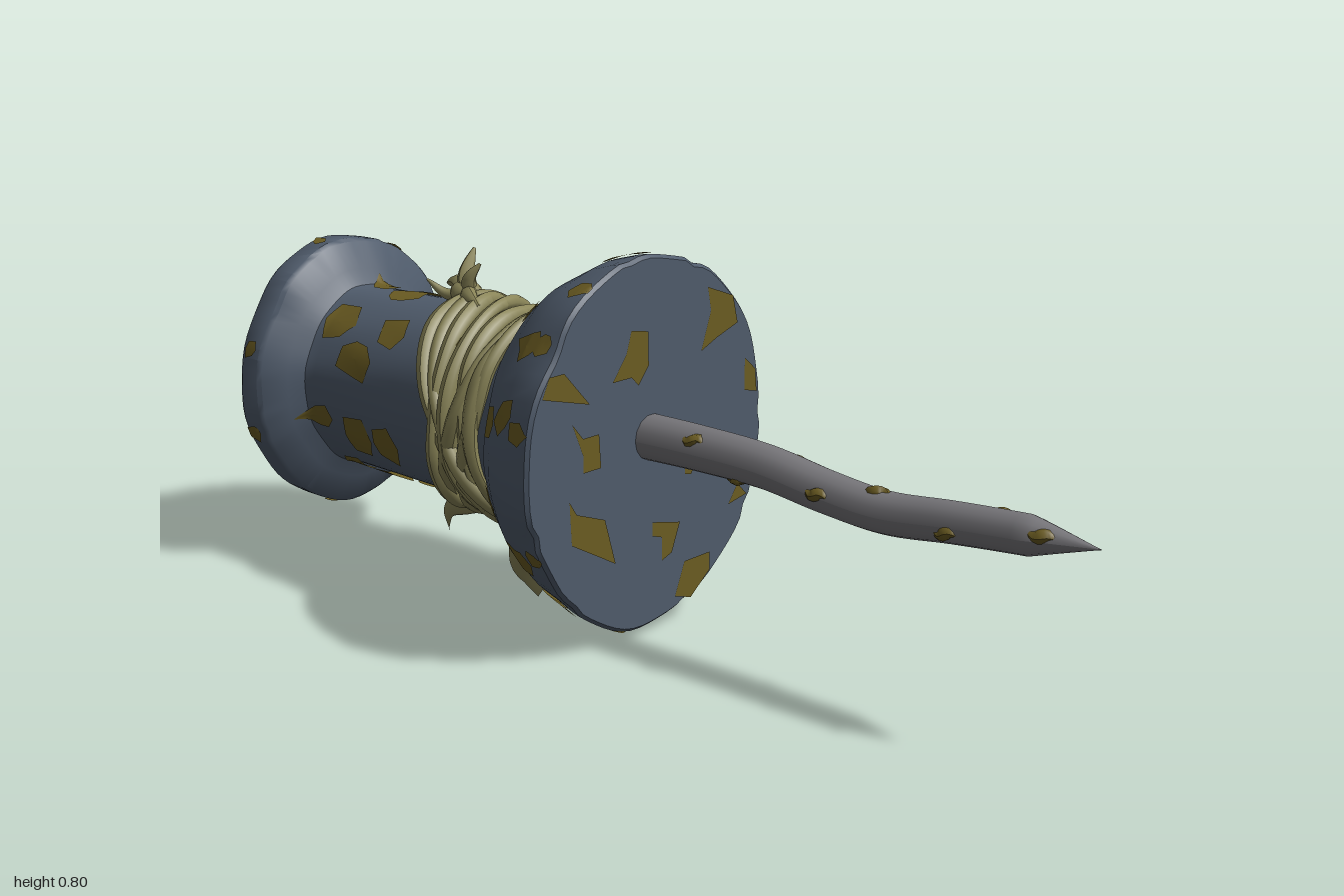
import * as THREE from 'three';
import { toCreasedNormals } from 'three/addons/utils/BufferGeometryUtils.js';

const CY = 0.405;      // height of the long axis
const SQUASH = 0.91;   // body is narrower in z than in y
const V = (x, y, z) => new THREE.Vector3(x, y, z);
const paint = (color, side = THREE.FrontSide) =>
  new THREE.MeshStandardMaterial({ color, side, roughness: 0.9 });

// Outer silhouette [x, radius] from end cap to bell rim
const OUTLINE = [
  [-1, 0.298], [-0.99, 0.304], [-0.94, 0.304], [-0.93, 0.297], [-0.905, 0.24], [-0.885, 0.205],
  [-0.86, 0.2], [-0.6, 0.206], [-0.35, 0.214], [-0.29, 0.222], [-0.265, 0.26], [-0.23, 0.3],
  [-0.18, 0.338], [-0.12, 0.367], [-0.06, 0.383], [-0.038, 0.387], [-0.03, 0.38],
];

function radiusAt(x) {
  const i = Math.max(1, OUTLINE.findIndex(p => p[0] >= x));
  const [a, b] = [OUTLINE[i - 1], OUTLINE[i]];
  return THREE.MathUtils.lerp(a[1], b[1], (x - a[0]) / (b[0] - a[0]));
}

// Hand-carved unevenness, with chips along the bell rim and the cap edge
function wear(x, a) {
  const rough = 0.008 * Math.sin(5 * a + 7 * x) + 0.006 * Math.sin(11 * a - 13 * x);
  const rim = THREE.MathUtils.smoothstep(x, -0.09, -0.03);
  const cap = THREE.MathUtils.smoothstep(-x, 0.9, 0.93) * (x > -0.96 ? 1 : 0);
  const chip = Math.pow(Math.max(0, Math.sin(8 * a + 1.5 * Math.sin(3 * a))), 8);
  return 1 + rough - chip * (0.025 * rim + 0.015 * cap);
}

function onBody(x, a, lift) {
  const r = radiusAt(x) * wear(x, a) + lift;
  return V(x, CY + r * Math.cos(a), r * Math.sin(a) * SQUASH);
}

function makeBody() {
  const face = [[-0.982, 0], [-0.982, 0.1], [-0.982, 0.21], [-0.99, 0.225], [-1, 0.245]];
  const profile = [...face, ...OUTLINE, [-0.03, 0.2], [-0.03, 0]];
  const geo = new THREE.LatheGeometry(profile.map(([x, r]) => new THREE.Vector2(r, x)), 80);
  geo.rotateZ(-Math.PI / 2);
  const p = geo.attributes.position;
  for (let i = 0; i < p.count; i++) {
    const x = p.getX(i), y = p.getY(i), z = p.getZ(i);
    const k = wear(x, Math.atan2(z, y));
    p.setXYZ(i, x, CY + y * k, z * k * SQUASH);
  }
  return toCreasedNormals(geo, 0.6);
}

// Angular patch that hugs the body; corners are [x, angle]
function makePatch(corners, cx, ca) {
  const rings = 4, per = 4, n = corners.length * per, pos = [], idx = [];
  for (let k = 0; k <= rings; k++) for (let j = 0; j < n; j++) {
    const c = corners[Math.floor(j / per)], d = corners[(Math.floor(j / per) + 1) % corners.length];
    const t = (j % per) / per, s = k / rings;
    const x = cx + s * (c[0] + (d[0] - c[0]) * t), a = ca + s * (c[1] + (d[1] - c[1]) * t);
    pos.push(...onBody(THREE.MathUtils.clamp(x, -0.995, -0.034), a, 0.004).toArray());
    if (k < rings) {
      const i = k * n + j, m = k * n + (j + 1) % n;
      idx.push(i, i + n, m, m, i + n, m + n);
    }
  }
  const geo = new THREE.BufferGeometry();
  geo.setAttribute('position', new THREE.Float32BufferAttribute(pos, 3));
  geo.setIndex(idx);
  geo.computeVertexNormals();
  return geo;
}

// Swept strand: width(t) sets thickness along the path, flat squeezes it in z
function makeStrand(points, width, { flat = 1, closed = false, steps = 40, sides = 8 } = {}) {
  const curve = new THREE.CatmullRomCurve3(points, closed);
  const geo = new THREE.TubeGeometry(curve, steps, 1, sides, closed);
  const p = geo.attributes.position, v = V(0, 0, 0);
  for (let i = 0; i < p.count; i++) {
    const t = Math.floor(i / (sides + 1)) / steps, c = curve.getPointAt(t);
    v.fromBufferAttribute(p, i).sub(c).multiplyScalar(Math.max(width(t), 0.0005));
    p.setXYZ(i, c.x + v.x, c.y + v.y, c.z + v.z * flat);
  }
  geo.computeVertexNormals();
  return geo;
}

// Flat patches [z, y] on the large round face
const FACE_PATCHES = [
  [[.06, .65], [.01, .64], [.01, .57], [.04, .535], [.06, .555], [.115, .555], [.075, .605]],
  [[-.17, .7], [-.25, .67], [-.265, .61], [-.2, .59], [-.15, .57], [-.18, .65]],
  [[.29, .6], [.25, .6], [.18, .525], [.31, .56]],
  [[.23, .495], [.2, .46], [.155, .46], [.15, .39], [.2, .39], [.2, .425]],
  [[-.29, .53], [-.325, .5], [-.33, .45], [-.29, .46]],
  [[-.1, .38], [-.15, .39], [-.145, .355], [-.12, .315], [-.1, .32]],
  [[.24, .34], [.22, .31], [.14, .28], [.11, .18], [.235, .25]],
  [[0, .24], [-.085, .22], [-.06, .16], [-.03, .15], [-.03, .2], [0, .21]],
  [[-.1, .13], [-.18, .13], [-.18, .09], [-.12, .045], [-.07, .06]],
  [[-.27, .26], [-.3, .23], [-.24, .22]],
];
const END_PATCHES = [
  [[.1, .5], [.02, .55], [-.08, .48], [-.1, .36], [.0, .3], [.06, .38]],
  [[-.1, .56], [-.15, .48], [-.13, .42], [-.08, .52]],
];

export function createModel() {
  const model = new THREE.Group();
  const add = (name, geo, mat, parent = model) => {
    const mesh = new THREE.Mesh(geo, mat);
    mesh.name = name;
    parent.add(mesh);
  };
  const group = name => {
    const g = new THREE.Group();
    g.name = name;
    model.add(g);
    return g;
  };
  const bodyMat = paint(0x4f5b6b), rustMat = paint(0x6b5c22, THREE.DoubleSide);
  const ropeMat = paint(0x8a8558), steelMat = paint(0x77767a);

  add('handle', makeBody(), bodyMat);

  // Rust patches around the handle
  let seed = 11;
  const rnd = () => (seed = (seed * 16807) % 2147483647) / 2147483647;
  const rust = group('rustPatches');
  const rows = [[-0.965, 7, 0.025], [-0.84, 6, 0.05], [-0.74, 7, 0.06], [-0.64, 6, 0.05],
    [-0.45, 5, 0.05], [-0.2, 9, 0.035], [-0.13, 10, 0.04], [-0.065, 12, 0.028]];
  rows.forEach(([x, count, size], row) => {
    for (let i = 0; i < count; i++) {
      const corners = [], n = 5 + Math.floor(rnd() * 3);
      for (let j = 0; j < n; j++) {
        const a = j / n * Math.PI * 2, s = size * (0.55 + 0.75 * rnd());
        corners.push([s * Math.cos(a), s * 0.9 * Math.sin(a) / radiusAt(x)]);
      }
      const angle = (i + 0.5 * (row % 2) + 0.5 * rnd()) / count * Math.PI * 2;
      add('rustPatch', makePatch(corners, x + (rnd() - 0.5) * size * 0.6, angle), rustMat, rust);
    }
  });
  const flatPatches = (list, x) => list.forEach(poly => {
    const geo = new THREE.ShapeGeometry(new THREE.Shape(poly.map(([z, y]) => new THREE.Vector2(-z, y))));
    add('faceRustPatch', geo.rotateY(Math.PI / 2).translate(x, 0, 0), rustMat, rust);
  });
  flatPatches(FACE_PATCHES, -0.0275);
  flatPatches(END_PATCHES, -0.9845);

  // Bent needle with a sharp tip
  const needlePath = [V(-0.06, .42, 0), V(.1, .422, 0), V(.27, .418, 0), V(.42, .398, 0), V(.55, .388, 0),
    V(.7, .402, 0), V(.86, .414, 0), V(1, .42, 0)];
  const needleWidth = t => t > 0.87 ? 0.037 * (1 - t) / 0.13 : 0.048 - 0.012 * t;
  add('needle', makeStrand(needlePath, needleWidth, { steps: 60, sides: 14 }), steelMat);

  // Rust flecks lying on the needle
  const needle = new THREE.CatmullRomCurve3(needlePath);
  [[.16, .8], [.25, 2.6], [.36, 5], [.45, 1.3], [.56, 0], [.64, 3.8], [.72, 1.8], [.8, 5.2], [.9, 1]].forEach(([t, a]) => {
    const path = [-1, -0.4, 0.4, 1].map((k, i) => {
      const u = t + k * 0.028, c = needle.getPointAt(u), b = a + 0.25 * (i % 2), r = needleWidth(u) - 0.005;
      return V(c.x, c.y + r * Math.cos(b), c.z + r * Math.sin(b));
    });
    add('needleRust', makeStrand(path, s => 0.014 * Math.sin(Math.PI * s), { steps: 10, sides: 6 }), rustMat, rust);
  });

  // Rope loops: x where each passes the top, front, bottom and back
  const rope = group('rope');
  [[-.56, -.46, -.34, -.5], [-.53, -.43, -.31, -.44], [-.33, -.4, -.5, -.38], [-.31, -.35, -.46, -.33],
    [-.45, -.42, -.42, -.53], [-.305, -.34, -.31, -.31], [-.39, -.37, -.37, -.42], [-.5, -.46, -.51, -.56],
  ].forEach(([t, f, b, k], n) => {
    const pts = [];
    for (let i = 0; i < 20; i++) {
      const a = i / 20 * Math.PI * 2;
      const x = (t + f + b + k) / 4 + (t - b) / 2 * Math.cos(a) + (f - k) / 2 * Math.sin(a)
        + (t + b - f - k) / 4 * Math.cos(2 * a);
      pts.push(onBody(Math.min(x, -0.295), a, 0.008 + 0.006 * Math.sin(3 * a + n * 2)));
    }
    const width = s => 0.017 + 0.003 * Math.sin(s * Math.PI * 6 + n);
    add('ropeLoop', makeStrand(pts, width, { closed: true, steps: 80 }), ropeMat, rope);
  });

  // Knot on top, with frayed ends
  const taper = w => t => w * (1 - 0.85 * t * t);
  add('knot', new THREE.SphereGeometry(0.033, 12, 8).scale(1.2, 0.8, 1).translate(-0.57, 0.635, -0.01), ropeMat, rope);
  [[V(-.6, .65, -.02), V(-.66, .64, -.04), .022], [V(-.61, .63, .01), V(-.65, .66, .03), .016],
    [V(-.58, .67, -.02), V(-.585, .725, -.05), .022], [V(-.55, .67, 0), V(-.525, .705, -.01), .018],
    [V(-.53, .64, .02), V(-.47, .63, .05), .02],
  ].forEach(([mid, end, w]) =>
    add('frayedEnd', makeStrand([V(-.56, .63, -.01), mid, end], taper(w), { steps: 14 }), ropeMat, rope));

  // Hanging ends below
  add('ribbonEnd', makeStrand([V(-.37, .2, .02), V(-.37, .14, .03), V(-.4, .07, .01), V(-.38, .04, 0), V(-.345, .012, 0)],
    t => 0.016 + 0.03 * Math.sin(Math.min(t * 1.25, 1) * Math.PI * 0.6) - 0.025 * t * t, { flat: 0.25, steps: 24 }), ropeMat, rope);
  add('curledEnd', makeStrand([V(-.48, .19, .02), V(-.54, .18, .03), V(-.6, .15, .03), V(-.625, .085, .01)],
    t => 0.02 + 0.012 * Math.sin(t * 4) - 0.014 * t, { flat: 0.5, steps: 24 }), ropeMat, rope);
  add('shortEnd', makeStrand([V(-.5, .2, -.02), V(-.53, .17, -.04), V(-.555, .145, -.06)], taper(0.022), { steps: 14 }), ropeMat, rope);

  return model;
}
